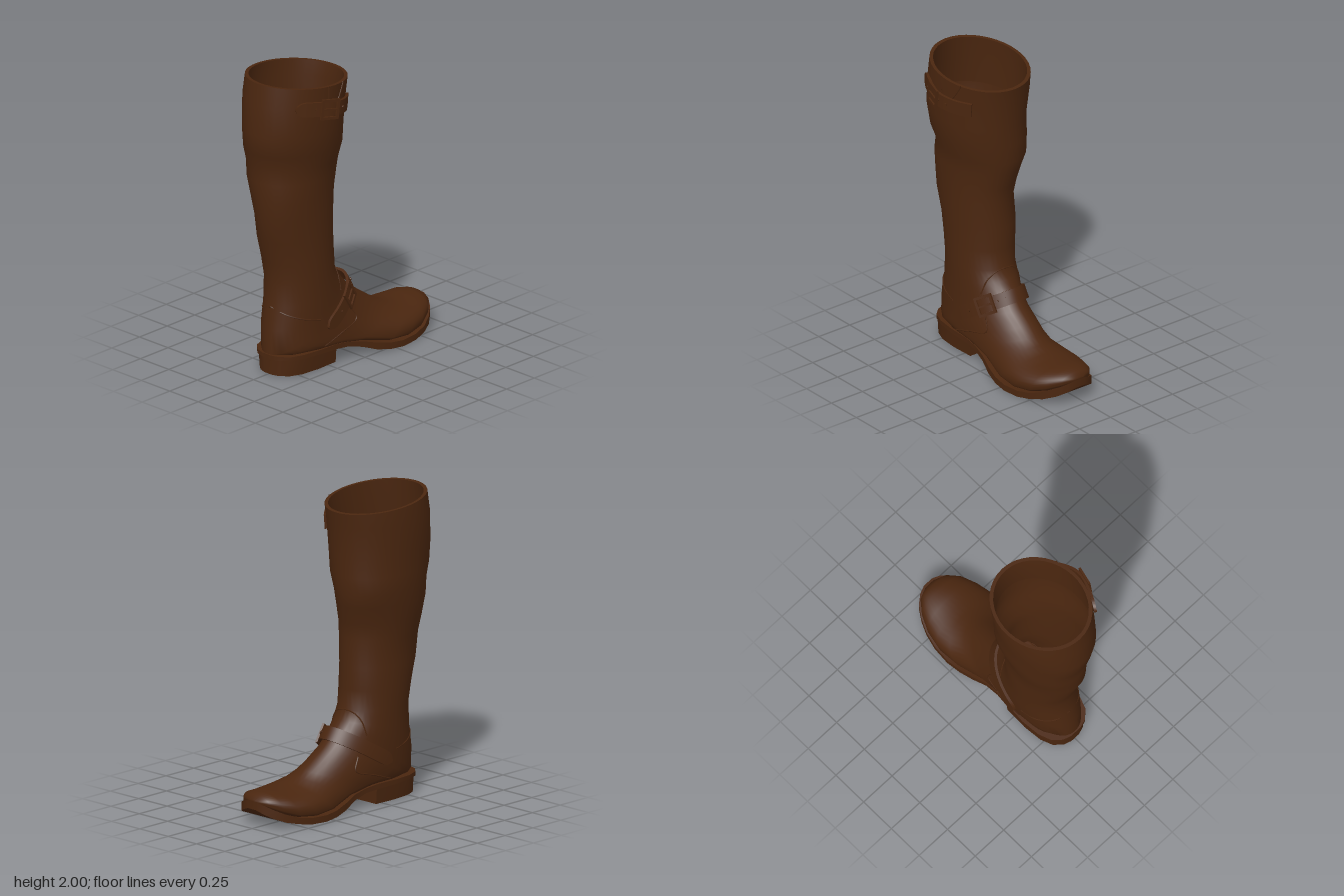
import * as THREE from 'three';
import { toCreasedNormals } from 'three/addons/utils/BufferGeometryUtils.js';

const leather = new THREE.MeshStandardMaterial({ color: 0x4a260f, side: THREE.DoubleSide });
leather.name = 'dark brown leather';
const V = (x, y, z) => new THREE.Vector3(x, y, z);

function add(parent, name, geometry) {
  const mesh = new THREE.Mesh(geometry, leather);
  mesh.name = name;
  parent.add(mesh);
  return mesh;
}

// Skin through closed rings of equal point count, with optional end caps
function loft(rings, crease, capStart, capEnd) {
  const n = rings[0].length, pos = [], idx = [];
  rings.forEach(r => r.forEach(p => pos.push(p.x, p.y, p.z)));
  for (let i = 0; i < rings.length - 1; i++) {
    for (let j = 0; j < n; j++) {
      const k = (j + 1) % n, a = i * n + j, b = i * n + k;
      idx.push(a, a + n, b, b, a + n, b + n);
    }
  }
  const cap = (i, flip) => {
    const c = rings[i].reduce((s, p) => s.add(p), V(0, 0, 0)).divideScalar(n);
    const m = pos.length / 3;
    pos.push(c.x, c.y, c.z);
    for (let j = 0; j < n; j++) {
      const a = i * n + j, b = i * n + (j + 1) % n;
      flip ? idx.push(m, b, a) : idx.push(m, a, b);
    }
  };
  if (capStart) cap(0, false);
  if (capEnd) cap(rings.length - 1, true);
  const g = new THREE.BufferGeometry();
  g.setAttribute('position', new THREE.Float32BufferAttribute(pos, 3));
  g.setIndex(idx);
  return toCreasedNormals(g, crease);
}

// Shaft sections: front x, front y, back x, back y, z min, z max
const shaft = [
  [0.01, 1.925, -0.69, 2.0, -0.32, 0.275],
  [-0.005, 1.83, -0.71, 1.86, -0.325, 0.275],
  [-0.02, 1.64, -0.73, 1.66, -0.305, 0.265],
  [-0.02, 1.5, -0.715, 1.52, -0.3, 0.25],
  [-0.03, 1.38, -0.68, 1.43, -0.295, 0.215],
  [-0.05, 1.3, -0.69, 1.32, -0.275, 0.21],
  [-0.085, 1.18, -0.67, 1.18, -0.255, 0.205],
  [-0.095, 1.08, -0.66, 1.06, -0.225, 0.2],
  [-0.085, 0.9, -0.625, 0.9, -0.225, 0.19],
  [-0.085, 0.75, -0.59, 0.75, -0.22, 0.19]
].map(([tx, ty, bx, by, z0, z1]) => [tx, ty, bx, by, (z1 - z0) / 2, (z0 + z1) / 2, 0.5, 1]);

// Ankle and foot sections fan from level to upright:
// top x, y, bottom x, y, half width, centre z, widest level, squareness of the base
const foot = [
  [-0.08, 0.62, -0.57, 0.62, 0.202, -0.01, 0.5, 1],
  [-0.04, 0.555, -0.585, 0.45, 0.2, -0.008, 0.5, 1],
  [0, 0.51, -0.615, 0.3, 0.2, -0.005, 0.5, 1],
  [0.04, 0.465, -0.625, 0.14, 0.195, 0, 0.5, 1],
  [0.1, 0.405, -0.56, 0.13, 0.195, 0.005, 0.47, 0.7],
  [0.2, 0.335, -0.4, 0.125, 0.195, 0.01, 0.4, 0.5],
  [0.27, 0.285, -0.2, 0.125, 0.19, 0.02, 0.35, 0.4],
  [0.33, 0.25, 0, 0.1, 0.2, 0.03, 0.3, 0.4],
  [0.4, 0.225, 0.2, 0.05, 0.24, 0.035, 0.3, 0.4],
  [0.47, 0.215, 0.36, 0.04, 0.248, 0.035, 0.3, 0.4],
  [0.55, 0.215, 0.5, 0.055, 0.222, 0.035, 0.3, 0.4],
  [0.63, 0.22, 0.6, 0.085, 0.178, 0.035, 0.35, 0.5],
  [0.685, 0.205, 0.68, 0.13, 0.115, 0.03, 0.4, 0.6],
  [0.712, 0.18, 0.712, 0.155, 0.04, 0.025, 0.5, 1]
];
const rows = [...shaft, ...foot], F = shaft.length;

// Point on one section at angle a (0 = front or top, PI = back or bottom)
function sectionPoint([tx, ty, bx, by, w, zc, c, e], a, scale = 1) {
  const co = Math.cos(a), si = Math.sin(a), pw = co < 0 ? e : 1;
  let s = co >= 0 ? c + (1 - c) * co : c - c * Math.pow(-co, e);
  let z = w * Math.sign(si) * Math.pow(Math.abs(si), pw);
  const y = (ty + by) / 2;
  const fold = y > 0.8 && y < 1.6 ? 1 + 0.014 * Math.sin(3 * a + 11 * y) : 1;
  s = c + (s - c) * scale * fold;
  z *= scale * fold;
  return V(bx + (tx - bx) * s, by + (ty - by) * s, zc + z);
}

function surface(v, a) {
  const i = Math.min(Math.floor(v), rows.length - 2);
  return sectionPoint(rows[i], a).lerp(sectionPoint(rows[i + 1], a), v - i);
}

// Raised stitched seam through [section, angle] pairs
function seam(parent, name, pairs) {
  const curve = new THREE.CatmullRomCurve3(pairs.map(([v, a]) => surface(v, a)));
  add(parent, name, new THREE.TubeGeometry(curve, 24, 0.005, 5));
}

// Flat slab following sections of x, top y, bottom y, half width, centre z
function slab(list, taper = 0) {
  return loft(list.map(([x, t, b, w, zc]) => [
    V(x, t, zc - w), V(x, t, zc + w), V(x, b, zc + w - taper), V(x, b, zc - w + taper)
  ]), 0.6, true, true);
}

// Strap with rounded tips, its buckle and studs, along a curve
function strap(parent, name, curve, across, half, tips, buckleAt, studs) {
  const g = new THREE.Group();
  g.name = name;
  parent.add(g);
  const frame = t => {
    const p = curve.getPoint(t), tan = curve.getTangent(t);
    const n = V(0, 0, 0).crossVectors(tan, across).normalize();
    return { p, tan, n, up: V(0, 0, 0).crossVectors(n, tan) };
  };
  const rings = [];
  for (let i = 0; i <= 44; i++) {
    const t = i / 44, { p, n } = frame(t);
    const d = Math.min(tips[0] ? t / tips[0] : 1, tips[1] ? (1 - t) / tips[1] : 1, 1);
    const h = half * Math.max(0.15, Math.sqrt(1 - (1 - d) ** 2));
    rings.push([[h, 0.009], [-h, 0.009], [-h, -0.009], [h, -0.009]].map(([u, o]) =>
      p.clone().addScaledVector(across, u).addScaledVector(n, o)));
  }
  add(g, 'band', loft(rings, 0.6, true, true));
  const place = (mesh, t, lift) => {
    const { p, tan, n, up } = frame(t);
    mesh.applyMatrix4(new THREE.Matrix4().makeBasis(tan, up, n)
      .setPosition(p.clone().addScaledVector(n, lift)));
  };
  const box = (w, h) => [[-w, -h], [w, -h], [w, h], [-w, h]].map(([x, y]) => new THREE.Vector2(x, y));
  const shape = new THREE.Shape(box(0.065, half + 0.02));
  shape.holes.push(new THREE.Path(box(0.047, half + 0.002)));
  place(add(g, 'buckleFrame', new THREE.ExtrudeGeometry(shape, { depth: 0.014, bevelEnabled: false })), buckleAt, 0.004);
  place(add(g, 'bucklePin', new THREE.BoxGeometry(0.1, 0.012, 0.01)), buckleAt, 0.015);
  studs.forEach(t => place(add(g, 'stud', new THREE.CylinderGeometry(0.009, 0.009, 0.008, 10).rotateX(Math.PI / 2)), t, 0.012));
}

export function createModel() {
  const boot = new THREE.Group();
  boot.name = 'boot';

  // Leather upper, with the lining folded over the rim
  const N = 40, ring = (r, s) => Array.from({ length: N }, (_, j) => sectionPoint(r, j / N * Math.PI * 2, s));
  const skin = [ring(rows[2], 0.97), ring(rows[1], 0.93), ring(rows[0], 0.93), ...rows.map(r => ring(r, 1))];
  add(boot, 'upper', loft(skin, 0.9, false, true));

  // Sole
  add(boot, 'sole', slab([
    [-0.632, 0.145, 0.118, 0.04, 0], [-0.615, 0.145, 0.118, 0.095, 0], [-0.565, 0.145, 0.118, 0.15, 0],
    [-0.48, 0.145, 0.118, 0.182, 0], [-0.35, 0.145, 0.115, 0.197, 0.003], [-0.2, 0.142, 0.108, 0.192, 0.01],
    [-0.1, 0.13, 0.098, 0.19, 0.02], [0, 0.108, 0.07, 0.2, 0.03], [0.1, 0.078, 0.032, 0.228, 0.035],
    [0.2, 0.056, 0.012, 0.25, 0.037], [0.3, 0.046, 0.004, 0.26, 0.037], [0.42, 0.05, 0.008, 0.252, 0.037],
    [0.52, 0.066, 0.024, 0.228, 0.037], [0.6, 0.094, 0.043, 0.192, 0.035], [0.67, 0.13, 0.072, 0.142, 0.03],
    [0.71, 0.158, 0.1, 0.088, 0.028], [0.728, 0.175, 0.122, 0.035, 0.025]
  ]));

  // Heel block
  add(boot, 'heel', slab([[-0.622, 0.04], [-0.606, 0.09], [-0.56, 0.142], [-0.48, 0.174], [-0.35, 0.187], [-0.19, 0.182]]
    .map(([x, w]) => [x, 0.122, 0.01, w, 0.003]), 0.008));

  // Ankle strap wrapping the instep from side to side
  const tip = V(-0.28, 0.285, 0), crest = V(0.054, 0.487, 0), wrap = [];
  for (let i = 0; i <= 16; i++) {
    const a = Math.PI * (i / 16 - 0.5) * 1.02;
    const p = tip.clone().lerp(crest, Math.cos(a));
    wrap.push(V(p.x, p.y, 0.002 - 0.212 * Math.sin(a)));
  }
  strap(boot, 'ankleStrap', new THREE.CatmullRomCurve3(wrap), V(-0.518, 0.856, 0), 0.045,
    [0.06, 0.06], 0.24, [0.12, 0.33, 0.39]);

  // Shaft strap standing slightly off the leather
  strap(boot, 'shaftStrap', new THREE.CatmullRomCurve3([
    V(-0.59, 1.855, 0.215), V(-0.5, 1.848, 0.265), V(-0.34, 1.828, 0.318), V(-0.22, 1.808, 0.285), V(-0.13, 1.792, 0.215)
  ]), V(0.1, 0.995, 0), 0.047, [0.18, 0], 0.43, [0.3, 0.52, 0.64]);

  // Seams on both sides
  for (const s of [1, -1]) {
    seam(boot, 'heelSeam', [[F + 1, Math.PI * s], [F + 1.3, 2.6 * s], [F + 1.8, 2.1 * s], [F + 2.4, 1.7 * s]]);
    seam(boot, 'insteepSeam'.replace('ee', 'e'), [[F, 0], [F + 0.2, 0.35 * s], [F + 0.8, 0.65 * s], [F + 2, 0.9 * s]]);
    seam(boot, 'sideSeam', [[F + 5, 1.95 * s], [F + 5, 1.57 * s], [F + 5, 1.15 * s], [F + 4, 0.95 * s]]);
  }
  seam(boot, 'rimSeam', [[0, 1.6], [0.5, 1.58], [1, 1.56], [1.4, 1.52]]);
  seam(boot, 'rimSeam', [[0, 1.15], [0.4, 1.2], [1, 1.3], [1.4, 1.52]]);
  return boot;
}
